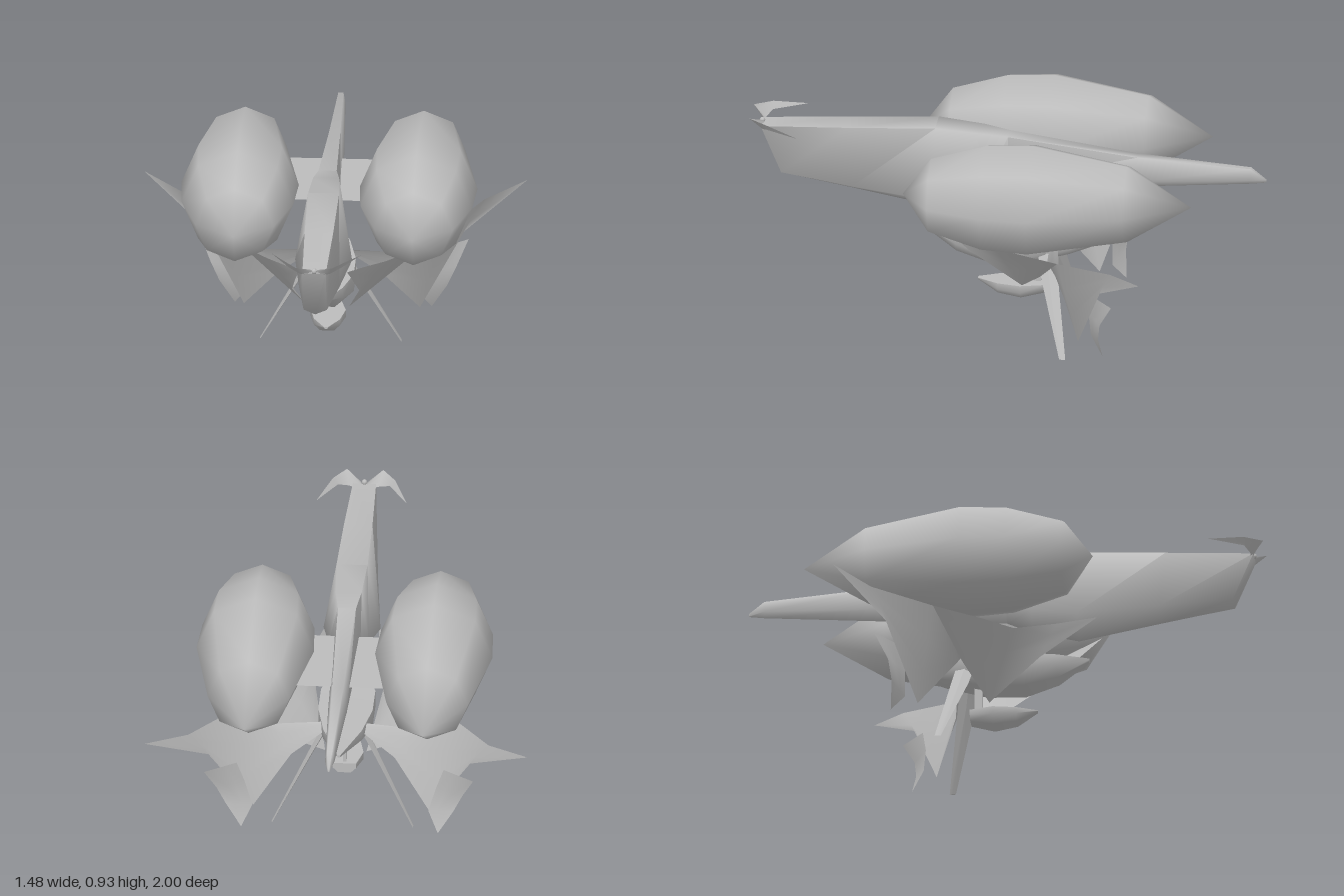
import * as THREE from 'three';
import { toCreasedNormals, mergeVertices } from 'three/addons/utils/BufferGeometryUtils.js';

const hullGrey = new THREE.MeshStandardMaterial({ color: 0xbcbcbc, side: THREE.DoubleSide });

function part(group, name, geometry, crease) {
  const mesh = new THREE.Mesh(crease ? toCreasedNormals(geometry, crease) : geometry, hullGrey);
  mesh.name = name;
  group.add(mesh);
  return mesh;
}

// Skin over rows of equal point counts; closed rows are joined round and capped.
function loft(rows, closed) {
  const n = rows[0].length, pos = rows.flat(2), index = [];
  for (let r = 0; r < rows.length - 1; r++) {
    for (let i = 0; i < (closed ? n : n - 1); i++) {
      const j = (i + 1) % n, a = r * n + i, b = r * n + j, c = a + n, d = b + n;
      index.push(a, b, c, b, d, c);
    }
  }
  if (closed) {
    const last = (rows.length - 1) * n;
    for (let i = 1; i < n - 1; i++) {
      index.push(0, i + 1, i, last, last + i, last + i + 1);
    }
  }
  const g = new THREE.BufferGeometry();
  g.setAttribute('position', new THREE.Float32BufferAttribute(pos, 3));
  g.setIndex(index);
  g.computeVertexNormals();
  return g;
}

// Thin membrane stretched between two edges.
function sail(edgeA, edgeB) {
  return loft(edgeA.map((a, k) => [0, 0.33, 0.67, 1].map(t =>
    a.map((v, i) => v + (edgeB[k][i] - v) * t))), false);
}

// Flat-decked hull: rows of [z, half width, deck y, chine y, keel y].
function boat(sections) {
  return loft(sections.map(([z, w, deck, chine, keel]) => [
    [w, deck, z], [w, chine, z], [w * 0.55, keel, z],
    [-w * 0.55, keel, z], [-w, chine, z], [-w, deck, z]]), true);
}

// Eight-sided bag pointed at both ends, with normals shared at seam and poles.
function bag() {
  const profile = [[0, -0.75], [0.158, -0.5], [0.227, -0.13], [0.216, 0.05], [0.152, 0.26], [0, 0.37]]
    .map(([r, z]) => new THREE.Vector2(r, z));
  const g = new THREE.LatheGeometry(profile, 8).rotateX(Math.PI / 2);
  g.deleteAttribute('normal');
  g.deleteAttribute('uv');
  const merged = mergeVertices(g, 1e-4);
  merged.computeVertexNormals();
  return merged;
}

export function createModel() {
  const model = new THREE.Group();
  model.name = 'airship';

  // Main hull tapering into a tail boom: [zTop, wTop, yTop, zLow, wSide, ySide, yKeel]
  const hull = [
    [0.96, 0.045, 0.82, 0.88, 0.045, 0.63, 0.61],
    [0.62, 0.055, 0.835, 0.6, 0.078, 0.6, 0.56],
    [0.28, 0.06, 0.852, 0.28, 0.11, 0.57, 0.5],
    [0.1, 0.05, 0.835, 0.1, 0.078, 0.61, 0.545],
    [0, 0.035, 0.82, 0, 0.052, 0.64, 0.59],
    [-0.5, 0.022, 0.755, -0.5, 0.037, 0.66, 0.625],
    [-0.94, 0.01, 0.725, -0.94, 0.018, 0.68, 0.66],
    [-1, 0.003, 0.68, -1, 0.004, 0.672, 0.668],
  ].map(([zt, wt, yt, zl, wm, ym, yk]) => [
    [wt, yt, zt], [wm, ym, zl], [0, yk, zl], [-wm, ym, zl], [-wt, yt, zt]]);
  part(model, 'hull', loft(hull, true), 1.45);

  // Nose knob
  part(model, 'noseKnob', new THREE.SphereGeometry(0.011, 8, 6)).position.set(0, 0.828, 0.958);

  // Thin plate joining the two gas bags
  part(model, 'bagPlate', new THREE.PlaneGeometry(0.4, 0.39).rotateX(-Math.PI / 2)).position.set(0, 0.695, -0.195);

  // Hanging boats and the strut that carries them
  part(model, 'upperBoat', boat([
    [0.32, 0.012, 0.42, 0.415, 0.41],
    [0.2, 0.07, 0.417, 0.375, 0.335],
    [0.07, 0.105, 0.415, 0.345, 0.3],
    [-0.08, 0.105, 0.415, 0.345, 0.305],
    [-0.24, 0.075, 0.417, 0.375, 0.345],
    [-0.45, 0.006, 0.425, 0.42, 0.415]]), 1);
  part(model, 'lowerBoat', boat([
    [0.12, 0.008, 0.212, 0.208, 0.205],
    [0.04, 0.05, 0.21, 0.185, 0.162],
    [-0.05, 0.068, 0.21, 0.18, 0.15],
    [-0.14, 0.045, 0.21, 0.19, 0.17]]), 1);
  part(model, 'boatStrut', new THREE.BoxGeometry(0.014, 0.42, 0.03)).position.set(0, 0.41, -0.11);

  for (const side of [1, -1]) {
    const half = new THREE.Group();
    half.name = side > 0 ? 'leftSide' : 'rightSide';
    const m = list => list.map(([x, y, z]) => [x * side, y, z]);

    part(half, 'gasBag', bag()).position.set(0.345 * side, 0.698, 0);

    // Small swept nose wing
    part(half, 'noseWing', sail(
      m([[0.01, 0.83, 0.95], [0.07, 0.86, 1.0], [0.12, 0.857, 0.93], [0.175, 0.83, 0.8]]),
      m([[0.01, 0.8, 0.95], [0.06, 0.815, 0.95], [0.1, 0.83, 0.93], [0.175, 0.83, 0.8]])));

    // Front sail of the lower wing
    const shoulder = [0.44, 0.475, -0.24];
    part(half, 'frontSail', sail(
      m([[0.095, 0.555, 0.36], [0.15, 0.51, 0.21], [0.225, 0.464, 0.05], [0.33, 0.462, -0.06], shoulder]),
      m([[0.095, 0.555, 0.36], [0.13, 0.38, 0.14], [0.08, 0.22, -0.06], [0.24, 0.33, -0.15], shoulder])));

    // Outer blade of the lower wing, rooted at the upper boat
    part(half, 'outerBlade', sail(
      m([[0.08, 0.41, -0.17], [0.26, 0.4, -0.18], shoulder, [0.58, 0.502, -0.465], [0.74, 0.53, -0.595]]),
      m([[0.08, 0.38, -0.2], [0.2, 0.29, -0.22], [0.34, 0.11, -0.31], [0.5, 0.385, -0.41], [0.74, 0.53, -0.595]])));

    // Rear blade behind it
    part(half, 'rearBlade', sail(
      m([[0.4, 0.33, -0.37], [0.37, 0.24, -0.355], [0.34, 0.14, -0.36], [0.38, 0.07, -0.41]]),
      m([[0.52, 0.335, -0.46], [0.475, 0.24, -0.41], [0.44, 0.165, -0.4], [0.38, 0.07, -0.41]])));

    // Slim tapering leg
    const ring = (x, y, z, w, d) => m([[x - w, y, z], [x, y, z + d], [x + w, y, z], [x, y, z - d]]);
    part(half, 'leg', loft([
      ring(0.06, 0.4, -0.15, 0.012, 0.035),
      ring(0.12, 0.29, -0.17, 0.01, 0.034),
      ring(0.272, 0.0, -0.24, 0.002, 0.012)], true), 0.5);

    model.add(half);
  }
  return model;
}
